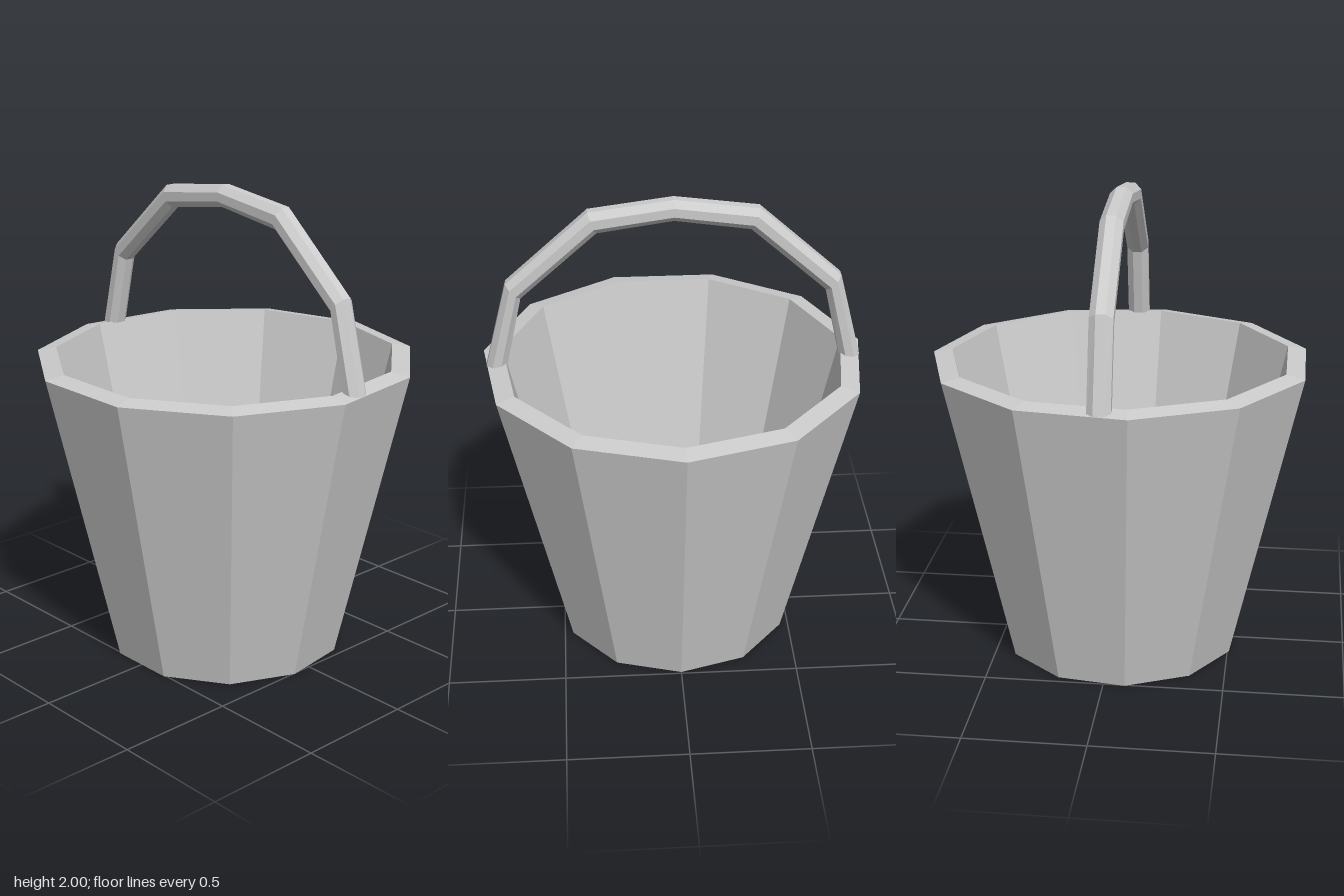
import * as THREE from 'three';

const SIDES = 11;
const CENTRE_X = -0.018;

const material = () => new THREE.MeshStandardMaterial({ color: 0xcccccc, flatShading: true });

// Tapered faceted shell: underside, outer wall, rim, inner wall, floor
function createBucket() {
  const profile = [
    [0, 0], [0.51, 0], [0.805, 1.275], [0.725, 1.29], [0.448, 0.08], [0, 0.08],
  ].map(([r, y]) => new THREE.Vector2(r, y));
  const mesh = new THREE.Mesh(new THREE.LatheGeometry(profile, SIDES, Math.PI / 2), material());
  mesh.name = 'bucket';
  return mesh;
}

// Octagonal bar bent through mitred joints from the front rim to the back rim
function createHandle() {
  // Outer and inner edge of each joint as [z, y], foot to crown
  const half = [
    { outer: [0.78, 1.277], inner: [0.692, 1.285] },
    { outer: [0.685, 1.65], inner: [0.625, 1.585] },
    { outer: [0.345, 1.955], inner: [0.31, 1.865] },
    { outer: [0, 2.0], inner: [0, 1.91] },
  ];
  const flip = ([z, y]) => [-z, y];
  const joints = [
    ...half,
    ...half.slice(0, -1).reverse().map((j) => ({ outer: flip(j.outer), inner: flip(j.inner) })),
  ];
  const spans = joints.length - 1;
  const halfWidth = 0.047;

  // Unit octagonal bar, flats facing outward, with one ring per joint
  const radius = 1 / Math.cos(Math.PI / 8);
  const geometry = new THREE.CylinderGeometry(radius, radius, spans, 8, spans, false, Math.PI / 8);
  const pos = geometry.attributes.position;
  for (let i = 0; i < pos.count; i++) {
    const { outer, inner } = joints[Math.round(pos.getY(i) + spans / 2)];
    const t = (pos.getZ(i) + 1) / 2;
    pos.setXYZ(
      i,
      pos.getX(i) * halfWidth,
      THREE.MathUtils.lerp(inner[1], outer[1], t),
      THREE.MathUtils.lerp(inner[0], outer[0], t),
    );
  }
  geometry.computeVertexNormals();
  const mesh = new THREE.Mesh(geometry, material());
  mesh.name = 'handle';
  return mesh;
}

export function createModel() {
  const group = new THREE.Group();
  group.name = 'pail';
  const parts = [createBucket(), createHandle()];
  for (const part of parts) {
    part.position.x = CENTRE_X;
    group.add(part);
  }
  return group;
}
